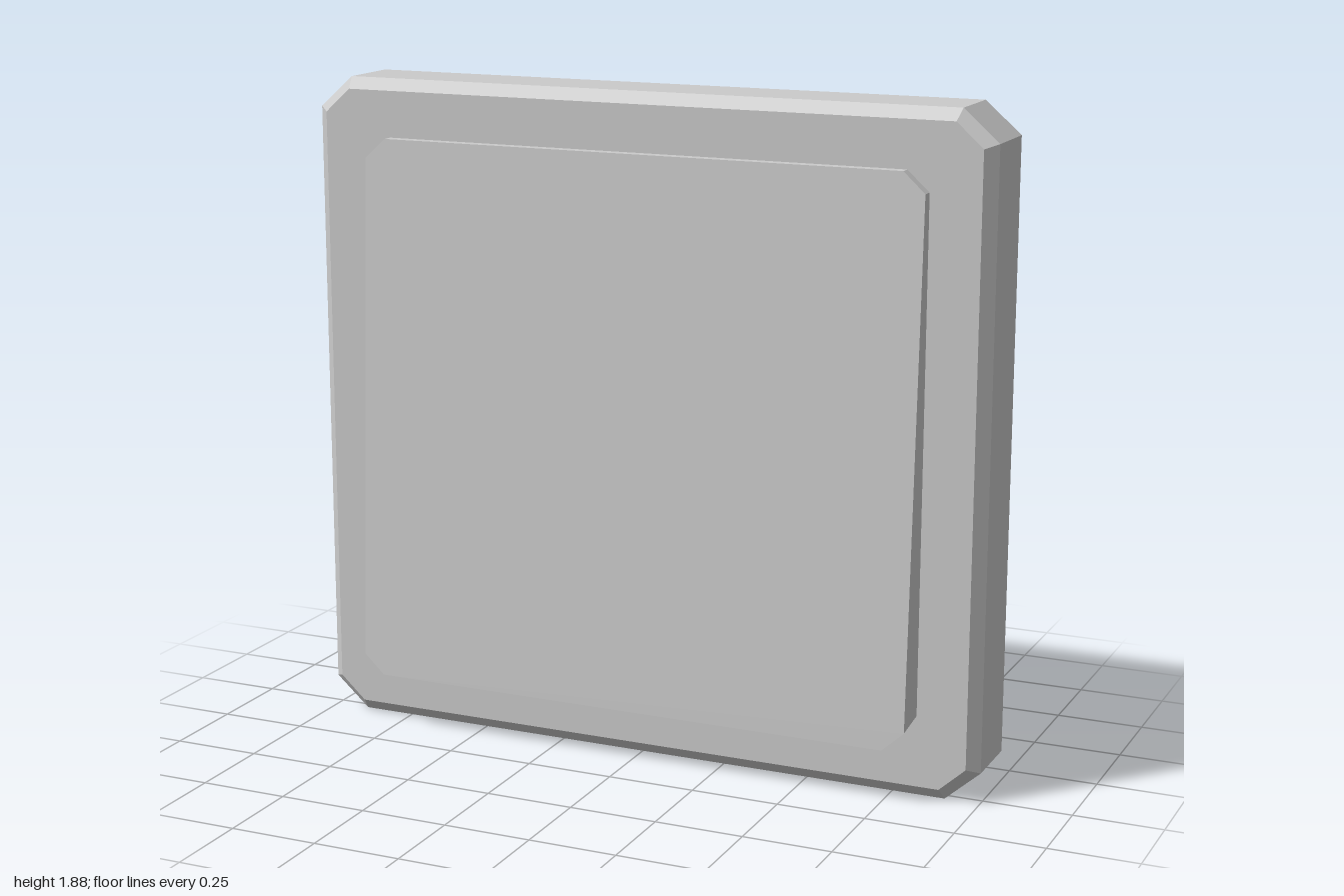
import * as THREE from 'three';

const material = new THREE.MeshStandardMaterial({ color: 0xcccccc, flatShading: true, side: THREE.DoubleSide });

// Rectangle with cut corners, counter-clockwise from the front; zAt gives depth by height
function cutRect(halfW, bottom, top, cutX, cutY, zAt) {
  const x = halfW - cutX;
  return [
    [-x, bottom], [x, bottom], [halfW, bottom + cutY], [halfW, top - cutY],
    [x, top], [-x, top], [-halfW, top - cutY], [-halfW, bottom + cutY],
  ].map(([px, py]) => new THREE.Vector3(px, py, zAt(py)));
}

// Open-backed shell: walls joining the rings from back to front, closed by a front face
function shell(name, rings) {
  const points = [];
  for (let r = 0; r < rings.length - 1; r++) {
    const a = rings[r], b = rings[r + 1];
    for (let i = 0; i < a.length; i++) {
      const j = (i + 1) % a.length;
      points.push(a[i], a[j], b[j], a[i], b[j], b[i]);
    }
  }
  const face = rings[rings.length - 1];
  for (let i = 1; i < face.length - 1; i++) points.push(face[0], face[i], face[i + 1]);

  const geometry = new THREE.BufferGeometry().setFromPoints(points);
  geometry.computeVertexNormals();
  const mesh = new THREE.Mesh(geometry, material);
  mesh.name = name;
  return mesh;
}

export function createModel() {
  const group = new THREE.Group();
  group.name = 'wallSwitch';

  // Wall plate: straight sides, then a bevel into the flat front
  group.add(shell('wallPlate', [
    cutRect(1, 0, 1.88, 0.1, 0.088, () => -0.165),
    cutRect(1, 0, 1.88, 0.1, 0.088, () => 0.025),
    cutRect(0.967, 0.035, 1.848, 0.075, 0.068, () => 0.057),
  ]));

  // Rocker: leaning face, its skirt passing a little way through the plate
  const lean = (y) => THREE.MathUtils.mapLinear(y, 0.165, 1.717, 0.164, 0.088);
  group.add(shell('rocker', [
    cutRect(0.825, 0.185, 1.717, 0.062, 0.056, () => 0.025),
    cutRect(0.825, 0.165, 1.717, 0.062, 0.056, lean),
  ]));

  return group;
}
